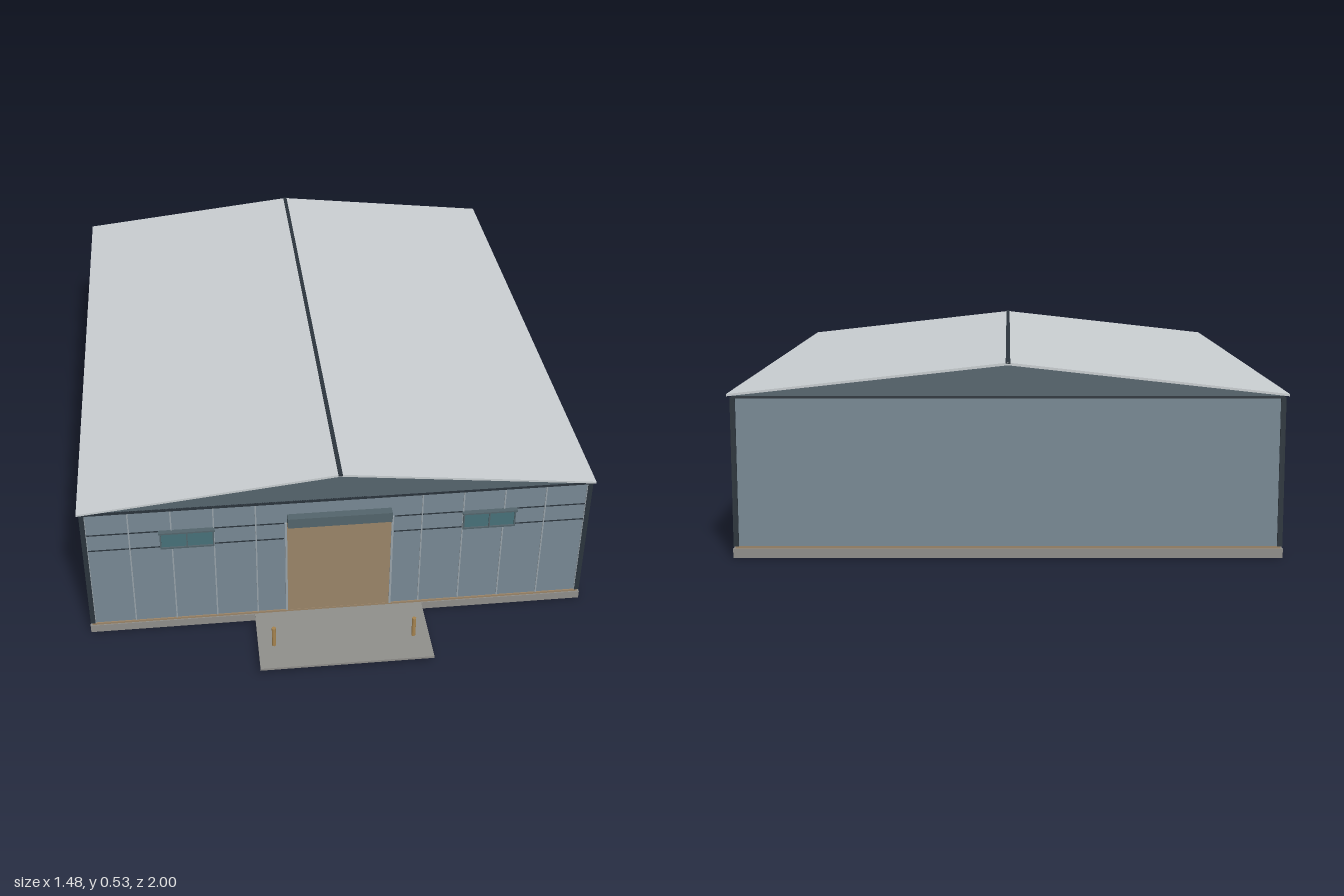
import * as THREE from 'three';

const mat = (color) => new THREE.MeshStandardMaterial({ color, flatShading: true });
const wallMat = mat(0x778893), darkMat = mat(0x2b343c), gableMat = mat(0x55646d);
const roofMat = mat(0xc8cdd0), slabMat = mat(0x8f8e8a), doorMat = mat(0x9a8468);
const ribMat = mat(0x97a2a9), glassMat = mat(0x477078), postMat = mat(0xa5834f), hoodMat = mat(0x53646b);

export function createModel() {
  const model = new THREE.Group();

  const add = (name, geometry, material) => {
    const mesh = new THREE.Mesh(geometry, material);
    mesh.name = name;
    model.add(mesh);
    return mesh;
  };
  // Box given by its minimum and maximum on each axis
  const box = (name, x0, x1, y0, y1, z0, z1, material) => {
    const mesh = add(name, new THREE.BoxGeometry(x1 - x0, y1 - y0, z1 - z0), material);
    mesh.position.set((x0 + x1) / 2, (y0 + y1) / 2, (z0 + z1) / 2);
    return mesh;
  };
  // Outline in x and y, extruded from z0 to z1
  const extrude = (name, points, z0, z1, material) => {
    const shape = new THREE.Shape(points.map(([x, y]) => new THREE.Vector2(x, y)));
    const geometry = new THREE.ExtrudeGeometry(shape, { depth: z1 - z0, bevelEnabled: false });
    add(name, geometry, material).position.z = z0;
  };

  // Foundation, base flashing and main hall
  box('foundation', -0.735, 0.735, 0, 0.025, -0.988, 0.772, slabMat);
  box('baseFlashing', -0.73, 0.73, 0.025, 0.031, -0.984, 0.769, doorMat);
  box('walls', -0.727, 0.727, 0.025, 0.433, -0.982, 0.765, wallMat);
  box('eavePlate', -0.73, 0.73, 0.43, 0.44, -0.985, 0.768, darkMat);

  // Gable ends under a thin two-sided roof
  extrude('gables', [[-0.735, 0.438], [0.735, 0.438], [0, 0.521]], -0.99, 0.768, gableMat);
  extrude('roof', [[-0.74, 0.438], [0, 0.52], [0.74, 0.438], [0.74, 0.444], [0, 0.527], [-0.74, 0.444]],
    -1, 0.776, roofMat);
  box('ridgeCap', -0.006, 0.006, 0.523, 0.53, -1, 0.778, darkMat);

  // Corner trims and side wall ribs
  for (const s of [-1, 1]) {
    for (const z of [-0.979, 0.763]) {
      box('cornerTrim', s * 0.727 - 0.007, s * 0.727 + 0.007, 0.031, 0.433, z - 0.006, z + 0.006, darkMat);
    }
    for (let i = 0; i < 12; i++) {
      const z = 0.69 - i * 0.145;
      box('sideRib', s * 0.728 - 0.003, s * 0.728 + 0.003, 0.031, 0.431, z - 0.003, z + 0.003, darkMat);
    }
  }

  // Front wall ribs and horizontal rails, stopping at the doorway
  for (const s of [-1, 1]) {
    for (let i = 0; i < 5; i++) {
      const x = s * (0.24 + i * 0.12);
      box('frontRib', x - 0.002, x + 0.002, 0.031, 0.431, 0.764, 0.768, ribMat);
    }
    for (const y of [0.303, 0.359]) {
      box('frontRail', s * 0.44 - 0.28, s * 0.44 + 0.28, y - 0.0015, y + 0.0015, 0.764, 0.767, darkMat);
    }
  }

  // Freight door with jambs and a hood
  box('door', -0.152, 0.152, 0.031, 0.36, 0.764, 0.768, doorMat);
  for (const s of [-1, 1]) {
    box('doorJamb', s * 0.154 - 0.003, s * 0.154 + 0.003, 0.031, 0.36, 0.764, 0.771, ribMat);
  }
  box('doorHood', -0.15, 0.15, 0.358, 0.39, 0.764, 0.79, hoodMat);

  // High windows with frames and a centre bar
  for (const s of [-1, 1]) {
    const x = s * 0.437;
    box('windowGlass', x - 0.075, x + 0.075, 0.302, 0.358, 0.764, 0.77, glassMat);
    box('windowSill', x - 0.077, x + 0.077, 0.299, 0.304, 0.764, 0.774, hoodMat);
    box('windowHead', x - 0.08, x + 0.08, 0.356, 0.361, 0.764, 0.78, hoodMat);
    for (const dx of [-0.075, 0, 0.075]) {
      box('windowBar', x + dx - 0.002, x + dx + 0.002, 0.302, 0.358, 0.764, 0.774, hoodMat);
    }
  }

  // Loading apron and guard posts
  box('apron', -0.25, 0.25, 0.018, 0.025, 0.768, 1, slabMat);
  for (const s of [-1, 1]) {
    const post = add('guardPost', new THREE.CylinderGeometry(0.006, 0.006, 0.068, 12), postMat);
    post.position.set(s * 0.204, 0.057, 0.907);
  }

  return model;
}
